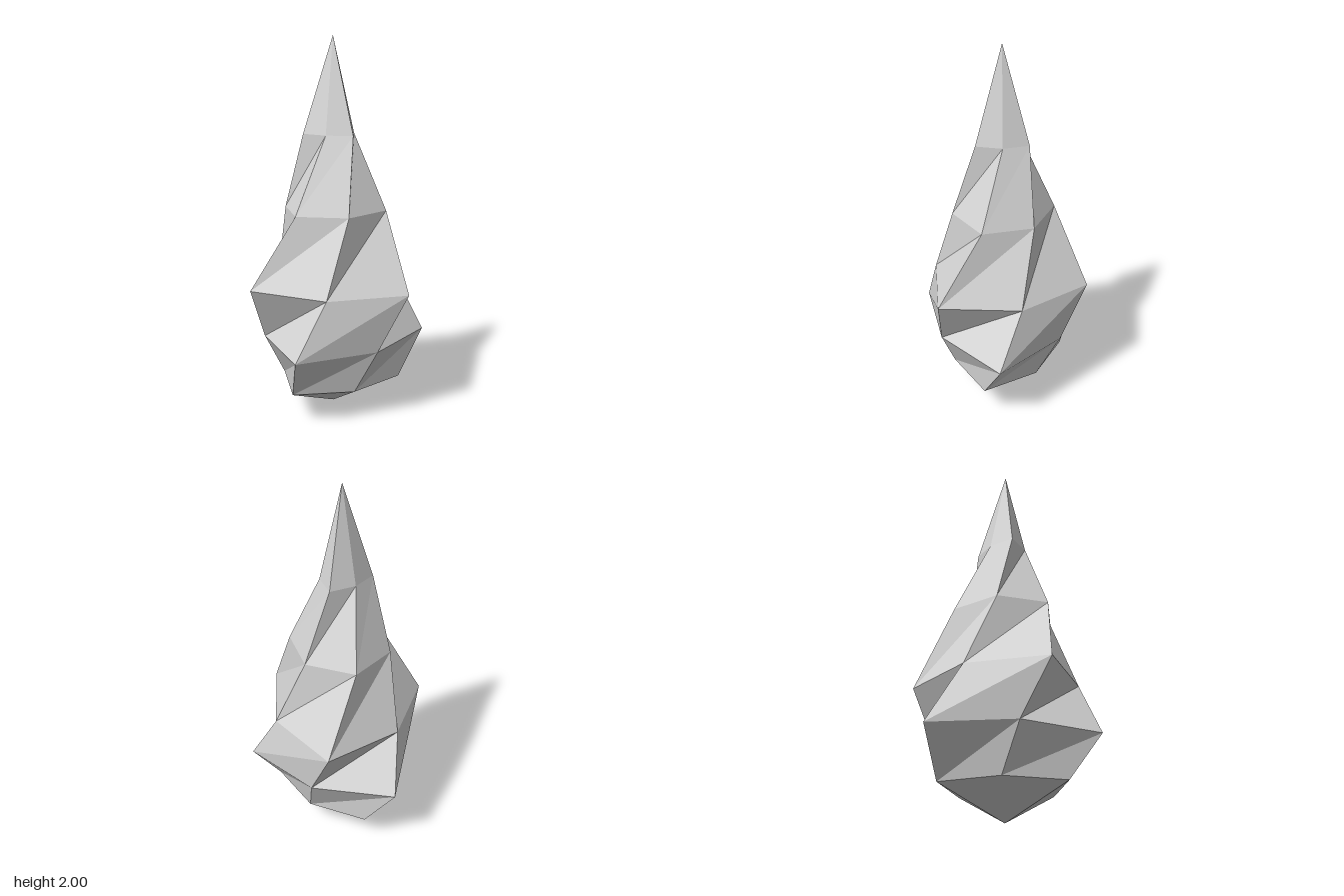
import * as THREE from 'three';

// Rings from bottom tip to top tip: height, radius of even ridges, radius of odd ridges
const RINGS = [
  [0, 0, 0],
  [0.16, 0.361, 0.275],
  [0.4, 0.5, 0.376],
  [0.7, 0.377, 0.476],
  [1.1, 0.262, 0.285],
  [1.5, 0.158, 0.112],
  [2, 0, 0],
];
const SIDES = 6;
const CENTER_X = -0.034, CENTER_Z = -0.014;

// Point on a ridge; the whole body twists by one radian per unit of height
function ridgePoint(ring, i) {
  const [y, even, odd] = RINGS[ring];
  const k = i % SIDES;
  const r = k % 2 ? odd : even;
  const a = (Math.PI * 2) / 3 - y + (k * Math.PI * 2) / SIDES;
  return [CENTER_X + r * Math.cos(a), y, CENTER_Z + r * Math.sin(a)];
}

function twistedCrystalGeometry() {
  const positions = [];
  const last = RINGS.length - 1;
  for (let ring = 0; ring < last; ring++) {
    for (let i = 0; i < SIDES; i++) {
      const a = ridgePoint(ring, i), b = ridgePoint(ring, i + 1);
      const c = ridgePoint(ring + 1, i), d = ridgePoint(ring + 1, i + 1);
      if (ring > 0) positions.push(...a, ...c, ...b);
      if (ring < last - 1) positions.push(...b, ...c, ...d);
    }
  }
  const geometry = new THREE.BufferGeometry();
  geometry.setAttribute('position', new THREE.Float32BufferAttribute(positions, 3));
  geometry.computeVertexNormals(); // separate triangles give flat facets
  return geometry;
}

export function createModel() {
  const group = new THREE.Group();
  group.name = 'twistedCrystal';
  const paleGrey = new THREE.MeshStandardMaterial({ color: 0xd4d4d4 });
  paleGrey.name = 'paleGrey';
  paleGrey.flatShading = true;
  const body = new THREE.Mesh(twistedCrystalGeometry(), paleGrey);
  body.name = 'crystalBody';
  group.add(body);
  return group;
}
